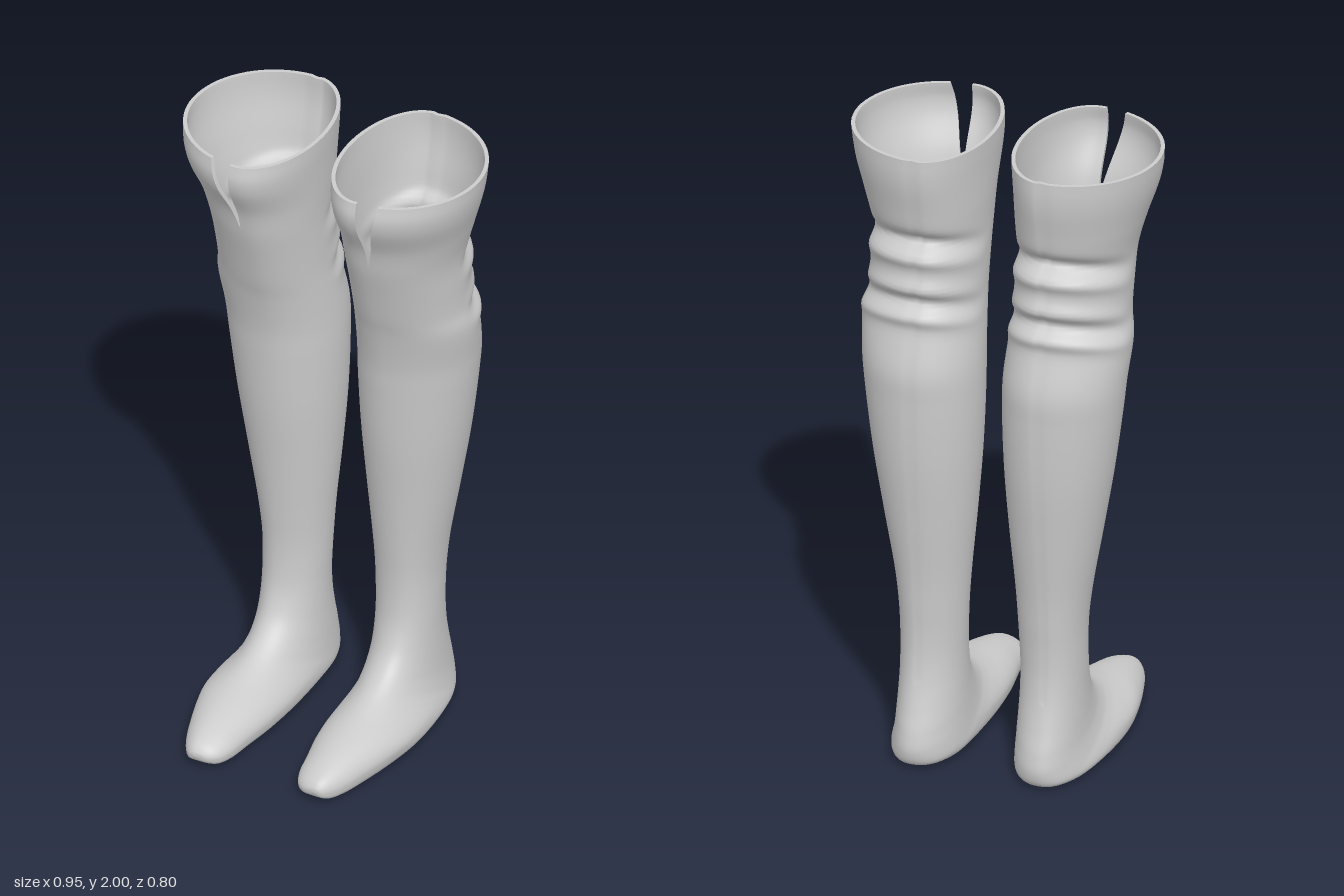
import * as THREE from 'three';
import { mergeVertices } from 'three/addons/utils/BufferGeometryUtils.js';

const CX = 0.2;          // seam line of each boot
const WALL = 0.012;      // material thickness
const COLS = 64, STEPS = 8;

// Shaft sections: y, front z, back z, inner half-width, outer half-width
const SHAFT = [
  [2.0, 0.162, -0.375, 0.16, 0.275], [1.95, 0.17, -0.375, 0.158, 0.27],
  [1.9, 0.16, -0.37, 0.155, 0.26], [1.8, 0.11, -0.35, 0.15, 0.23],
  [1.7, 0.082, -0.335, 0.145, 0.205], [1.6, 0.05, -0.345, 0.145, 0.202],
  [1.5, 0.02, -0.35, 0.146, 0.203], [1.43, -0.002, -0.365, 0.151, 0.215],
  [1.3, -0.03, -0.4, 0.16, 0.206], [1.2, -0.04, -0.4, 0.162, 0.196],
  [1.0, -0.057, -0.39, 0.156, 0.17], [0.8, -0.08, -0.368, 0.142, 0.137],
  [0.6, -0.1, -0.345, 0.124, 0.102], [0.5, -0.107, -0.338, 0.117, 0.09],
  [0.42, -0.106, -0.334, 0.113, 0.086],
];
// Foot sections tilt from ankle to toe: top z, top y, bottom z, bottom y, half-widths
const FOOT = [
  [-0.098, 0.35, -0.336, 0.34, 0.11, 0.085], [-0.083, 0.3, -0.348, 0.26, 0.11, 0.085],
  [-0.06, 0.255, -0.37, 0.18, 0.112, 0.087], [-0.03, 0.222, -0.392, 0.11, 0.115, 0.09],
  [0.0, 0.2, -0.4, 0.055, 0.118, 0.095], [0.04, 0.178, -0.385, 0.015, 0.122, 0.105],
  [0.08, 0.162, -0.33, 0.002, 0.127, 0.118], [0.13, 0.147, -0.2, 0.002, 0.13, 0.132],
  [0.18, 0.136, -0.02, 0.002, 0.128, 0.134], [0.23, 0.126, 0.12, 0.002, 0.118, 0.115],
  [0.29, 0.112, 0.24, 0.003, 0.1, 0.088], [0.34, 0.096, 0.32, 0.006, 0.088, 0.065],
  [0.38, 0.078, 0.37, 0.013, 0.068, 0.042], [0.398, 0.06, 0.394, 0.028, 0.04, 0.022],
  [0.402, 0.045, 0.402, 0.045, 0, 0],
];
// Folds behind the knee: height, depth
const FOLDS = [[1.71, -0.03], [1.66, 0.022], [1.56, 0.018], [1.52, -0.018], [1.475, 0.022]];

const ROWS = [...SHAFT.map(([y, f, b, wi, wo]) => [f, y, b, y, wi, wo]), ...FOOT];
const frontCurve = new THREE.CatmullRomCurve3(ROWS.map(r => new THREE.Vector3(r[0], r[1], r[4])));
const backCurve = new THREE.CatmullRomCurve3(ROWS.map(r => new THREE.Vector3(r[2], r[3], r[5])));

function sectionPoint(t, j, side) {
  const p = frontCurve.getPoint(t), q = backCurve.getPoint(t);
  const wi = Math.max(0, p.z), wo = Math.max(0, q.z);
  const foot = THREE.MathUtils.smoothstep(t * (ROWS.length - 1) - SHAFT.length, 3, 8);

  // angle runs around from one edge of the front slit, past the back seam, to the other
  const slit = Math.pow(Math.max(0, (p.y - 1.735) / 0.265), 0.8);
  const start = 0.06 + 0.23 * slit, end = 2 * Math.PI + 0.06 - 0.02 * slit;
  const h = COLS / 2;
  const a = j <= h ? start + (Math.PI - start) * j / h : Math.PI + (end - Math.PI) * (j - h) / h;

  let s = Math.sin(a), c = Math.cos(a);
  if (j === h) s = 0;
  const back = Math.max(0, -c);
  const e = c < 0 ? 1 - 0.32 * foot : 1;         // flatter sole
  const across = Math.sign(s) * Math.pow(Math.abs(s), e);
  const along = Math.sign(c) * Math.pow(Math.abs(c), e) - 0.2 * foot * s * s;

  // knee folds and the shallow groove of the back seam
  let d = 0;
  if (p.y > 1.3) {
    for (const [y0, depth] of FOLDS) {
      const k = (p.y - y0 + 0.05 * (1 - back)) / 0.018;
      d += depth * Math.exp(-k * k / 2) * back;
    }
  }
  if (j === h && p.y > 0.3) d -= 0.004;
  const grow = 1 + d / 0.2;

  const x = CX + across * (s > 0 ? wo : wi) * grow;
  const y = (p.y + q.y) / 2 + along * (p.y - q.y) / 2;
  const z = (p.x + q.x) / 2 + along * grow * (p.x - q.x) / 2;
  return [side * x, Math.max(0, y), z];
}

function makeGeometry(positions, index) {
  const g = new THREE.BufferGeometry();
  g.setAttribute('position', new THREE.Float32BufferAttribute(positions, 3));
  g.setIndex(index);
  return g;
}

// Outer skin lofted from cuff to toe
function outerSkin(side) {
  const n = (ROWS.length - 1) * STEPS, pos = [], idx = [];
  for (let i = 0; i <= n; i++)
    for (let j = 0; j <= COLS; j++) pos.push(...sectionPoint(i / n, j, side));
  const tri = (a, b, c) => side > 0 ? idx.push(a, b, c) : idx.push(a, c, b);
  for (let i = 0; i < n; i++) {
    for (let j = 0; j < COLS; j++) {
      const a = i * (COLS + 1) + j, c = a + COLS + 1;
      tri(a, c, a + 1);
      tri(a + 1, c, c + 1);
    }
  }
  const g = mergeVertices(makeGeometry(pos, idx), 1e-5);
  const m = g.index.array, clean = [];
  for (let i = 0; i < m.length; i += 3) {
    const [a, b, c] = [m[i], m[i + 1], m[i + 2]];
    if (a !== b && b !== c && a !== c) clean.push(a, b, c);
  }
  g.setIndex(clean);
  g.computeVertexNormals();
  return g;
}

// Lining: the skin moved inwards and turned inside out
function liningOf(skin) {
  const p = skin.attributes.position, nrm = skin.attributes.normal, pos = [];
  for (let i = 0; i < p.count; i++) {
    const y = p.getY(i);
    pos.push(p.getX(i) - nrm.getX(i) * WALL,
      y > 1.9999 ? y : y - nrm.getY(i) * WALL,
      p.getZ(i) - nrm.getZ(i) * WALL);
  }
  const g = makeGeometry(pos, Array.from(skin.index.array).reverse());
  g.computeVertexNormals();
  return g;
}

// Rim: joins skin and lining along the open edges of cuff and slit
function rimOf(skin, lining) {
  const ix = skin.index.array, edges = new Set(), pos = [], idx = [];
  const key = (a, b) => a * 1e6 + b;
  const each = fn => {
    for (let i = 0; i < ix.length; i += 3)
      for (let k = 0; k < 3; k++) fn(ix[i + k], ix[i + (k + 1) % 3]);
  };
  each((a, b) => edges.add(key(a, b)));
  const v = new THREE.Vector3();
  each((a, b) => {
    if (edges.has(key(b, a))) return;
    const o = pos.length / 3;
    for (const [g, i] of [[skin, a], [skin, b], [lining, a], [lining, b]])
      pos.push(...v.fromBufferAttribute(g.attributes.position, i).toArray());
    idx.push(o, o + 2, o + 1, o + 1, o + 2, o + 3);
  });
  const g = makeGeometry(pos, idx);
  g.computeVertexNormals();
  return g;
}

export function createModel() {
  const model = new THREE.Group();
  model.name = 'thighBoots';
  const material = new THREE.MeshStandardMaterial({ color: 0xcccccc });
  const rimMaterial = new THREE.MeshStandardMaterial({ color: 0xcccccc, side: THREE.DoubleSide });
  for (const [name, side] of [['leftBoot', 1], ['rightBoot', -1]]) {
    const boot = new THREE.Group();
    boot.name = name;
    const skin = outerSkin(side), lining = liningOf(skin);
    const parts = [['outerSkin', skin, material], ['lining', lining, material],
      ['cuffRim', rimOf(skin, lining), rimMaterial]];
    for (const [part, geometry, mat] of parts) {
      const mesh = new THREE.Mesh(geometry, mat);
      mesh.name = part;
      boot.add(mesh);
    }
    model.add(boot);
  }
  return model;
}
